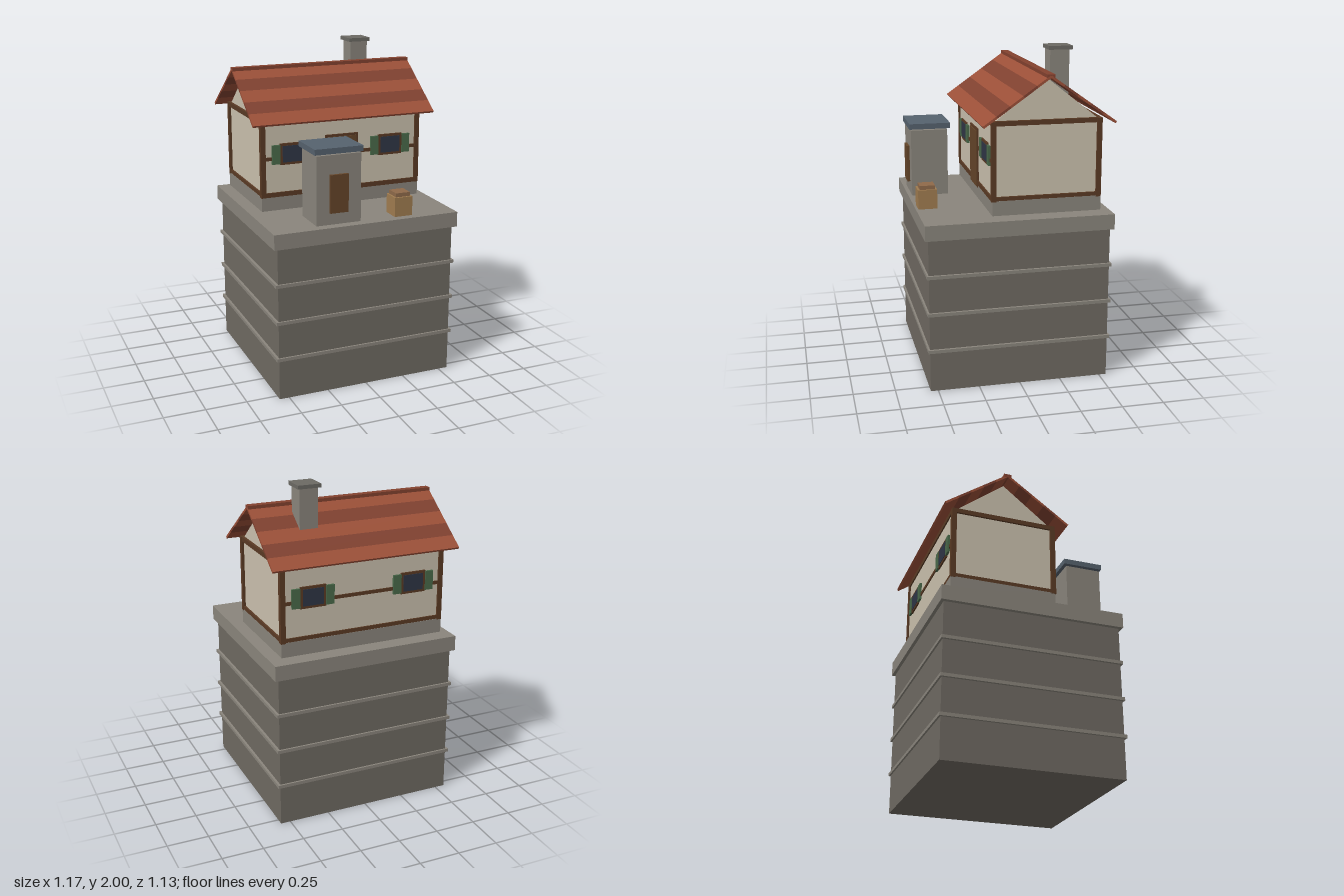
import * as THREE from 'three';

const mat = (color) => new THREE.MeshStandardMaterial({ color, flatShading: true });
const M = {
  tower: mat(0x6f6a62), stone: mat(0x8a857c), plaster: mat(0xcbc1ae), timber: mat(0x5a3a24),
  door: mat(0x654529), tile: mat(0x9c5038), tileDark: mat(0x804130), ridge: mat(0x84422f),
  shutter: mat(0x4a6a4a), glass: mat(0x2f3646), slate: mat(0x56626e), cap: mat(0x6c6a64),
  crate: mat(0xa07c50), lid: mat(0x8f6a4a),
};

// Box given by its extents on each axis
function block(parent, name, material, [x0, x1], [y0, y1], [z0, z1]) {
  const mesh = new THREE.Mesh(new THREE.BoxGeometry(x1 - x0, y1 - y0, z1 - z0), material);
  mesh.position.set((x0 + x1) / 2, (y0 + y1) / 2, (z0 + z1) / 2);
  mesh.name = name;
  parent.add(mesh);
  return mesh;
}

function group(parent, name) {
  const g = new THREE.Group();
  g.name = name;
  parent.add(g);
  return g;
}

// Framed window with two shutters, facing +z, centred on its own origin
function addWindow(parent, x, y, z, facing) {
  const w = group(parent, 'window');
  block(w, 'windowFrame', M.timber, [-0.08, 0.08], [-0.065, 0.065], [-0.01, 0.01]);
  block(w, 'windowGlass', M.glass, [-0.064, 0.064], [-0.05, 0.05], [0, 0.013]);
  for (const s of [-1, 1]) {
    block(w, 'shutter', M.shutter, [s * 0.105 - 0.026, s * 0.105 + 0.026], [-0.058, 0.058], [-0.01, 0.014]);
  }
  w.position.set(x, y, z);
  if (facing < 0) w.rotation.y = Math.PI;
}

export function createModel() {
  const model = new THREE.Group();
  model.name = 'towerHouse';

  // Tower with ledges and deck
  const tower = group(model, 'tower');
  block(tower, 'towerBody', M.tower, [-0.56, 0.56], [0, 0.94], [-0.545, 0.545]);
  for (const y of [0.245, 0.475, 0.705]) {
    block(tower, 'ledge', M.stone, [-0.575, 0.575], [y, y + 0.02], [-0.556, 0.556]);
  }
  block(tower, 'deck', M.stone, [-0.585, 0.585], [0.94, 1.032], [-0.565, 0.565]);

  // House: foundation, walls and gable
  const house = group(model, 'house');
  const zf = 0.155, zb = -0.485, zm = (zf + zb) / 2;
  block(house, 'foundation', M.stone, [-0.518, 0.518], [1.047, 1.135], [-0.495, 0.16]);
  block(house, 'walls', M.plaster, [-0.505, 0.505], [1.13, 1.59], [zb, zf]);
  const tri = new THREE.Shape([
    new THREE.Vector2(-0.315, 1.59), new THREE.Vector2(0.315, 1.59), new THREE.Vector2(0, 1.838),
  ]);
  const gable = new THREE.Mesh(new THREE.ExtrudeGeometry(tri, { depth: 1.0, bevelEnabled: false }), M.plaster);
  gable.name = 'gable';
  gable.rotation.y = Math.PI / 2;
  gable.position.set(-0.5, 0, zm);
  house.add(gable);

  // Timber frame
  const frame = group(house, 'timberFrame');
  for (const s of [-1, 1]) {
    const zw = zm + s * 0.32;
    for (const t of [-1, 1]) {
      block(frame, 'cornerPost', M.timber, [t * 0.505 - 0.015, t * 0.505 + 0.015], [1.13, 1.6],
        [zm + s * 0.315 - 0.015, zm + s * 0.315 + 0.015]);
    }
    for (const [y0, y1] of [[1.13, 1.158], [1.574, 1.602]]) {
      block(frame, 'longBeam', M.timber, [-0.515, 0.515], [y0, y1], [zw - 0.008, zw + 0.008]);
      block(frame, 'sideBeam', M.timber, [s * 0.505 - 0.012, s * 0.505 + 0.012], [y0, y1], [-0.49, 0.16]);
    }
    block(frame, 'middleRail', M.timber, [-0.505, 0.505], [1.355, 1.376], [zw - 0.006, zw + 0.006]);
    for (const x of [-0.32, 0.32]) addWindow(house, x, 1.39, zw, s);
  }

  // Front door
  block(house, 'doorFrame', M.timber, [-0.11, 0.105], [1.115, 1.482], [0.15, 0.164]);
  block(house, 'frontDoor', M.door, [-0.096, 0.091], [1.12, 1.468], [0.15, 0.169]);

  // Roof: five tile rows down each slope
  const roof = group(house, 'roof');
  const run = 0.39, drop = 0.275, rows = 5;
  const slope = Math.atan2(drop, run), rowLength = Math.hypot(run, drop) / rows;
  for (const s of [-1, 1]) {
    for (let i = 0; i < rows; i++) {
      const t = (i + 0.5) / rows;
      const row = new THREE.Mesh(new THREE.BoxGeometry(1.17, 0.014, rowLength), i % 2 ? M.tileDark : M.tile);
      row.name = 'tileRow';
      row.position.set(0, 1.858 - drop * t, zm + s * run * t);
      row.rotation.x = s * slope;
      roof.add(row);
    }
  }
  block(roof, 'ridgeCap', M.ridge, [-0.585, 0.585], [1.846, 1.87], [zm - 0.023, zm + 0.023]);

  // Chimney
  const chimney = group(house, 'chimney');
  block(chimney, 'chimneyStack', M.stone, [0.223, 0.335], [1.7, 1.98], [-0.342, -0.226]);
  block(chimney, 'chimneyCap', M.cap, [0.209, 0.35], [1.978, 2], [-0.358, -0.215]);

  // Stair hut on the deck
  const hut = group(model, 'hut');
  block(hut, 'hutWalls', M.stone, [-0.322, -0.046], [1.047, 1.458], [0.322, 0.548]);
  block(hut, 'hutRoof', M.slate, [-0.335, -0.036], [1.466, 1.5], [0.305, 0.558]);
  block(hut, 'hutDoor', M.door, [-0.242, -0.13], [1.118, 1.345], [0.54, 0.565]);

  // Crate
  const crate = group(model, 'crate');
  block(crate, 'crateBody', M.crate, [0.17, 0.283], [1.047, 1.163], [0.443, 0.557]);
  block(crate, 'crateLid', M.lid, [0.181, 0.271], [1.163, 1.187], [0.453, 0.545]);

  return model;
}
